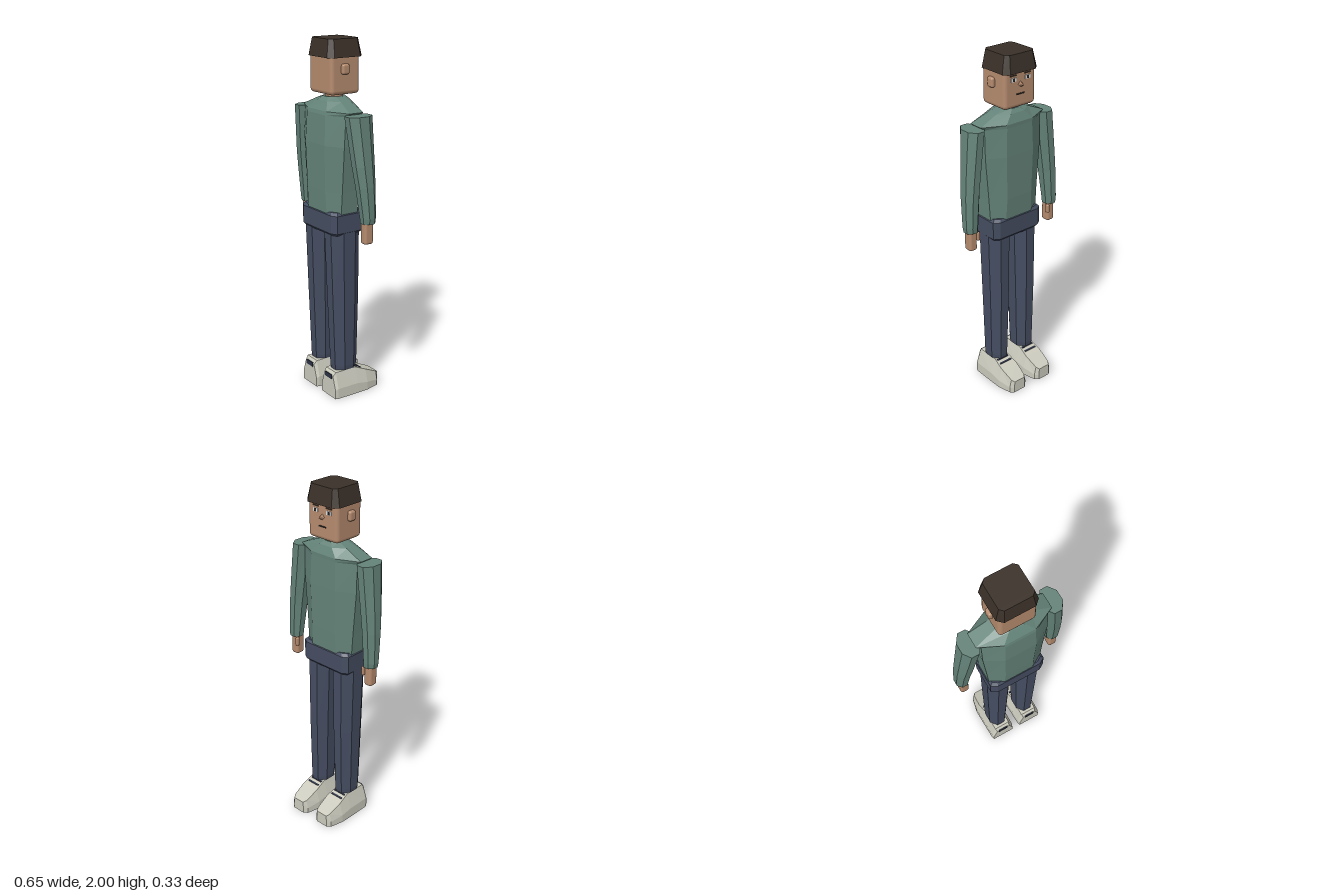
import * as THREE from 'three';
import { RoundedBoxGeometry } from 'three/addons/geometries/RoundedBoxGeometry.js';

const COLORS = {
  skin: 0xb58b6e, hair: 0x3a3028, sweater: 0x648379, trousers: 0x454d61,
  shoe: 0xcbcabd, trim: 0x2c3346, eyeWhite: 0xdfe3e4, dark: 0x2a2320,
};

// Flat-faced skin over a list of rings, closed at both ends
function loft(rings) {
  const pos = [];
  const tri = (...pts) => pts.forEach((p) => pos.push(...p));
  const n = rings[0].length;
  for (let r = 0; r < rings.length - 1; r++) {
    const a = rings[r], b = rings[r + 1];
    for (let i = 0; i < n; i++) {
      const j = (i + 1) % n;
      tri(a[i], a[j], b[j]);
      tri(a[i], b[j], b[i]);
    }
  }
  const first = rings[0], last = rings[rings.length - 1];
  for (let i = 1; i < n - 1; i++) {
    tri(last[0], last[i], last[i + 1]);
    tri(first[0], first[i + 1], first[i]);
  }
  const g = new THREE.BufferGeometry();
  g.setAttribute('position', new THREE.Float32BufferAttribute(pos, 3));
  g.computeVertexNormals();
  return g;
}

// Horizontal eight-sided ring; k is the share of each side left straight
function octagon([y, cx, cz, rx, rz, k = 0.414]) {
  return [[1, k], [k, 1], [-k, 1], [-1, k], [-1, -k], [-k, -1], [k, -1], [1, -k]]
    .map(([u, v]) => [cx + u * rx, y, cz - v * rz])
    .map((p, i, all) => all[(i + 7) % 8]);
}

// Upright shoe section, from heel to toe
function shoeRing([z, wide, top, h]) {
  const m = h * 0.4;
  return [[wide, 0], [-wide, 0], [-wide, m], [-top, h], [top, h], [wide, m]]
    .map(([x, y]) => [x, y, z]);
}

export function createModel() {
  const model = new THREE.Group();
  model.name = 'standingMan';
  const mats = {};
  for (const [name, color] of Object.entries(COLORS)) {
    mats[name] = new THREE.MeshStandardMaterial({ color });
    mats[name].name = name;
  }
  const add = (name, geo, mat, x = 0, y = 0, z = 0, parent = model) => {
    const mesh = new THREE.Mesh(geo, mats[mat]);
    mesh.name = name;
    mesh.position.set(x, y, z);
    parent.add(mesh);
    return mesh;
  };
  const body = (name, rows, mat) => add(name, loft(rows.map(octagon)), mat);

  // Head, neck and hair; the face looks toward -z
  add('head', new RoundedBoxGeometry(0.21, 0.22, 0.185, 2, 0.022), 'skin', 0, 1.82, 0.038);
  add('neck', new THREE.CylinderGeometry(0.048, 0.05, 0.08, 8), 'skin', 0, 1.7, 0.042);
  body('hair', [
    [1.905, 0, 0.034, 0.115, 0.111, 0.74],
    [2.0, 0, 0.035, 0.095, 0.094, 0.79],
  ], 'hair');
  const nose = add('nose', new THREE.ConeGeometry(0.016, 0.03, 4), 'skin', 0, 1.836, -0.069);
  nose.rotation.x = -Math.PI / 2;
  add('mouth', new THREE.BoxGeometry(0.05, 0.007, 0.004), 'dark', 0, 1.785, -0.056);

  // Sweater body
  body('sweaterBody', [
    [1.07, 0, 0.055, 0.162, 0.098, 0.55],
    [1.2, 0, 0.055, 0.17, 0.105, 0.5],
    [1.45, 0, 0.056, 0.19, 0.11, 0.48],
    [1.61, 0, 0.053, 0.19, 0.104, 0.45],
    [1.63, 0, 0.05, 0.215, 0.102, 0.42],
    [1.675, 0, 0.043, 0.11, 0.075],
    [1.695, 0, 0.042, 0.055, 0.055],
  ], 'sweater');

  // Hips
  body('hips', [
    [0.96, 0, 0.055, 0.152, 0.09, 0.8],
    [0.975, 0, 0.055, 0.167, 0.102, 0.8],
    [1.075, 0, 0.055, 0.167, 0.102, 0.8],
    [1.09, 0, 0.055, 0.152, 0.09, 0.8],
  ], 'trousers');

  for (const s of [1, -1]) {
    const side = s > 0 ? 'left' : 'right';

    // Face details and ear
    add(side + 'Ear', new RoundedBoxGeometry(0.032, 0.055, 0.046, 2, 0.012), 'skin', s * 0.108, 1.845, 0.046);
    add(side + 'Eye', new THREE.BoxGeometry(0.034, 0.02, 0.004), 'eyeWhite', s * 0.047, 1.866, -0.056);
    add(side + 'Pupil', new THREE.BoxGeometry(0.012, 0.016, 0.004), 'dark', s * 0.047, 1.866, -0.058);
    add(side + 'Brow', new THREE.BoxGeometry(0.042, 0.007, 0.005), 'hair', s * 0.047, 1.889, -0.056);

    // Sleeve, hand and thumb
    body(side + 'Sleeve', [
      [1.05, s * 0.283, 0.022, 0.037, 0.038],
      [1.08, s * 0.284, 0.023, 0.04, 0.041],
      [1.25, s * 0.274, 0.033, 0.046, 0.052],
      [1.36, s * 0.263, 0.04, 0.048, 0.06],
      [1.62, s * 0.234, 0.052, 0.052, 0.074],
    ], 'sweater');
    add(side + 'Hand', new RoundedBoxGeometry(0.05, 0.13, 0.056, 2, 0.014), 'skin', s * 0.281, 1.0, 0.026);
    add(side + 'Thumb', new RoundedBoxGeometry(0.018, 0.05, 0.022, 1, 0.006), 'skin', s * 0.254, 1.02, -0.002);

    // Trouser leg
    body(side + 'Leg', [
      [0.155, s * 0.096, 0.047, 0.055, 0.07],
      [0.18, s * 0.096, 0.047, 0.058, 0.073],
      [0.58, s * 0.094, 0.05, 0.066, 0.086],
      [0.99, s * 0.092, 0.056, 0.074, 0.094],
    ], 'trousers');

    // Shoe with laces and heel tab
    const shoe = new THREE.Group();
    shoe.name = side + 'Shoe';
    shoe.position.x = s * 0.096;
    model.add(shoe);
    add('upper', loft([
      [0.149, 0.068, 0.042, 0.13],
      [0.132, 0.074, 0.048, 0.152],
      [0.0, 0.077, 0.048, 0.152],
      [-0.07, 0.077, 0.055, 0.121],
      [-0.15, 0.06, 0.048, 0.083],
      [-0.168, 0.04, 0.036, 0.074],
    ].map(shoeRing)), 'shoe', 0, 0, 0, shoe);
    add('heelTab', new THREE.BoxGeometry(0.062, 0.026, 0.006), 'trim', 0, 0.124, 0.149, shoe);
    for (const z of [-0.014, -0.04]) {
      const lace = add('lace', new THREE.BoxGeometry(0.08, 0.007, 0.01), 'trim', 0, 0.153 + z * 0.443, z, shoe);
      lace.rotation.x = -0.417;
    }
    add('ankle', new THREE.CylinderGeometry(0.045, 0.045, 0.03, 8), 'trim', 0, 0.15, 0.05, shoe);
  }
  return model;
}
